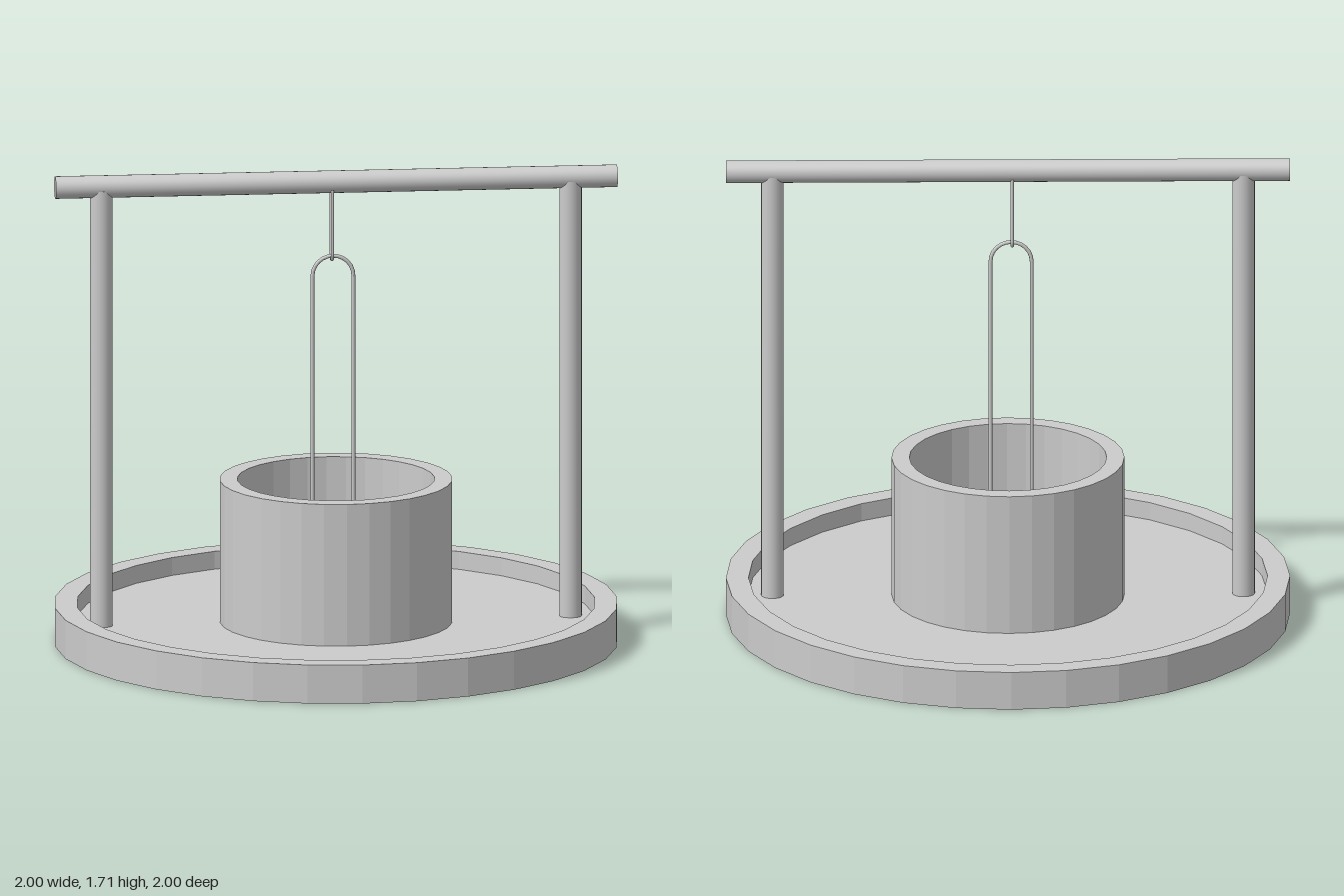
import * as THREE from 'three';

const grey = new THREE.MeshStandardMaterial({ color: 0xcccccc });
const facetedThin = new THREE.MeshStandardMaterial({
  color: 0xcccccc, flatShading: true, side: THREE.DoubleSide,
});

function part(parent, name, geometry, material = grey) {
  const mesh = new THREE.Mesh(geometry, material);
  mesh.name = name;
  parent.add(mesh);
  return mesh;
}

// Faceted shell turned around the y axis from [radius, y] pairs
function turned(parent, name, profile) {
  const points = profile.map(([r, y]) => new THREE.Vector2(r, y));
  return part(parent, name, new THREE.LatheGeometry(points, 32), facetedThin);
}

// Upright round rod between two heights
function rod(parent, name, radius, x, z, y0, y1, sides = 24) {
  const mesh = part(parent, name, new THREE.CylinderGeometry(radius, radius, y1 - y0, sides));
  mesh.position.set(x, (y0 + y1) / 2, z);
  return mesh;
}

export function createModel() {
  const model = new THREE.Group();
  model.name = 'hangingStand';

  // Tray: raised floor, rim and outer wall, hollow underneath
  const floorY = 0.075;
  turned(model, 'tray', [[0, floorY], [0.92, floorY], [0.92, 0.14], [1, 0.14], [1, 0]]);

  // Open cup standing on the tray floor
  turned(model, 'cup', [[0.35, floorY], [0.35, 0.59], [0.413, 0.59], [0.413, floorY]]);

  // Frame: two posts running through the tray, with a crossbar on top
  for (const side of [-1, 1]) {
    rod(model, side > 0 ? 'leftPost' : 'rightPost', 0.04, side * 0.835, 0, 0, 1.66);
  }
  const bar = part(model, 'crossbar', new THREE.CylinderGeometry(0.04, 0.04, 2, 24));
  bar.rotation.z = Math.PI / 2;
  bar.position.y = 1.67;

  // Long wire handle: two legs joined by an arch, one leg reaching lower
  const wire = 0.007;
  const handle = new THREE.Group();
  handle.name = 'handle';
  handle.position.x = -0.011;
  const span = 0.073;
  rod(handle, 'handleRightLeg', wire, -span, 0, 0.005, 1.328, 10);
  rod(handle, 'handleLeftLeg', wire, span, 0, 0.055, 1.328, 10);
  part(handle, 'handleArch', new THREE.TorusGeometry(span, wire, 10, 12, Math.PI))
    .position.y = 1.328;
  model.add(handle);

  // Short wire loop hanging from the crossbar, at right angles to the handle
  const hook = new THREE.Group();
  hook.name = 'hook';
  hook.position.x = -0.015;
  const gap = 0.026;
  for (const side of [-1, 1]) {
    rod(hook, side > 0 ? 'hookFrontLeg' : 'hookBackLeg', 0.006, 0, side * gap, 1.414, 1.66, 10);
  }
  const bend = part(hook, 'hookBend', new THREE.TorusGeometry(gap, 0.006, 10, 12, Math.PI));
  bend.rotation.set(Math.PI, Math.PI / 2, 0);
  bend.position.y = 1.414;
  model.add(hook);

  return model;
}
